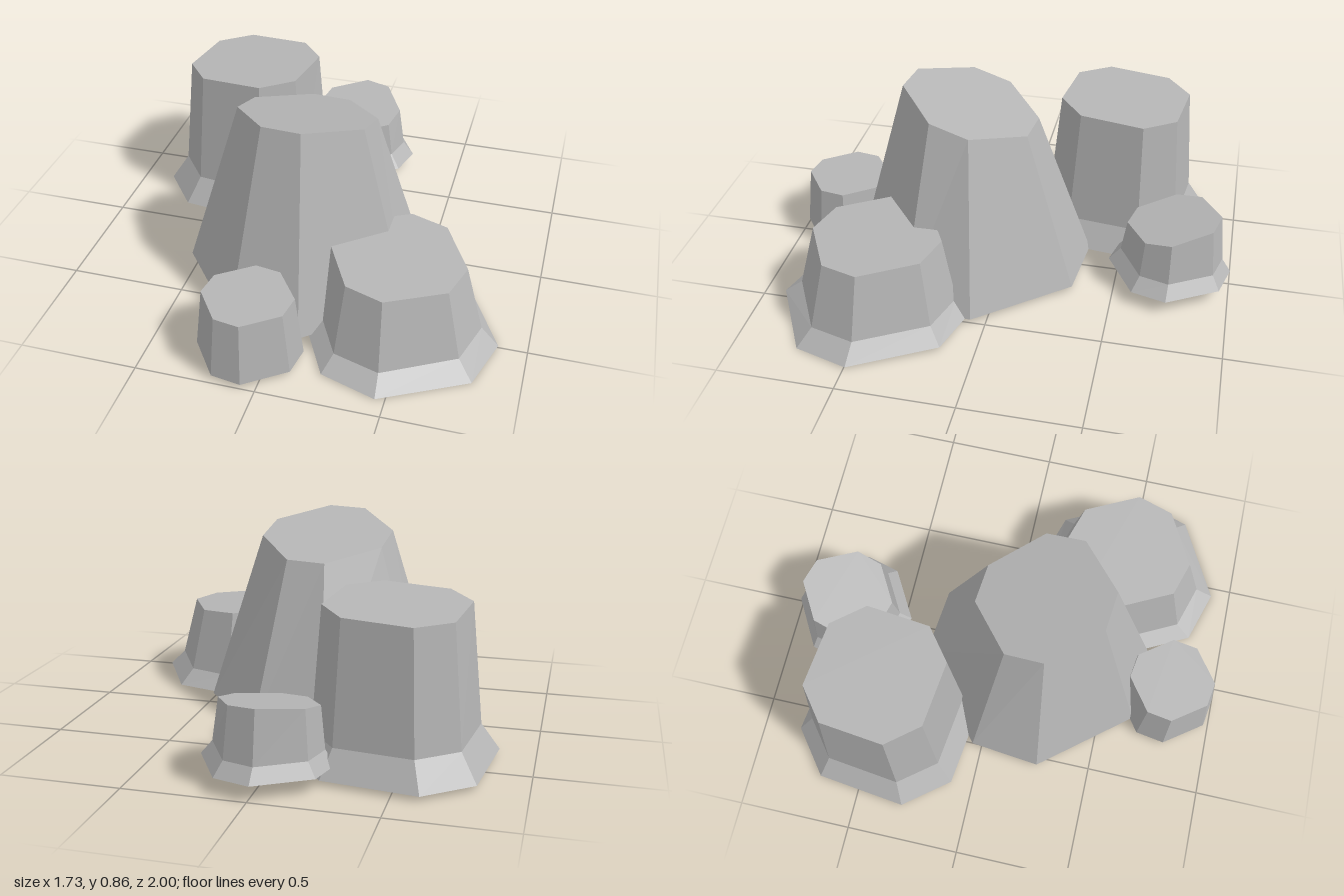
import * as THREE from 'three';

// Ring: [centre x, centre z, radius, height, slope along x, slope along z]
// Rings run from the ground up; turn is the rotation of the outline in degrees.
const ROCKS = [
  { name: 'mainRock', turn: 6, rings: [
    [-0.017, 0.165, 0.53, 0.02, 0, 0],
    [-0.016, 0.17, 0.29, 0.784, 0, 0.268],
  ] },
  { name: 'backRightRock', turn: 52, rings: [
    [-0.46, -0.44, 0.42, 0.02, 0, 0],
    [-0.455, -0.445, 0.345, 0.135, 0, 0],
    [-0.45, -0.45, 0.3, 0.648, 0.03, 0.05],
  ] },
  { name: 'smallBackRock', turn: 15, rings: [
    [0, -0.73, 0.27, 0.065, 0, 0],
    [-0.005, -0.735, 0.225, 0.125, 0, 0],
    [-0.01, -0.735, 0.203, 0.305, 0, -0.19],
  ] },
  { name: 'smallFrontRock', turn: 9, rings: [
    [-0.09, 0.78, 0.22, 0.02, 0, 0],
    [-0.09, 0.78, 0.188, 0.29, 0, 0],
  ] },
  { name: 'frontLeftRock', turn: 17, rings: [
    [0.46, 0.495, 0.42, 0.011, -0.012, -0.024],
    [0.455, 0.485, 0.35, 0.075, 0.01, -0.035],
    [0.445, 0.475, 0.283, 0.365, -0.03, -0.035],
  ] },
];

// Eight-sided outline with alternating short and long sides
function ringPoints([cx, cz, radius, height, slopeX, slopeZ], turn) {
  const points = [];
  for (let quarter = 0; quarter < 4; quarter++) {
    for (const half of [-17, 17]) {
      const angle = THREE.MathUtils.degToRad(turn + quarter * 90 + half);
      const x = Math.cos(angle) * radius;
      const z = Math.sin(angle) * radius;
      points.push([cx + x, height + x * slopeX + z * slopeZ, cz + z]);
    }
  }
  return points;
}

// Faceted walls between rings and a flat cap; the underside stays open
function rockGeometry({ rings, turn }) {
  const loops = rings.map((ring) => ringPoints(ring, turn));
  const positions = [];
  const triangle = (a, b, c) => positions.push(...a, ...b, ...c);
  for (let level = 0; level < loops.length - 1; level++) {
    const low = loops[level];
    const high = loops[level + 1];
    for (let i = 0; i < 8; i++) {
      const j = (i + 1) % 8;
      triangle(low[i], high[i], low[j]);
      triangle(low[j], high[i], high[j]);
    }
  }
  const cap = loops[loops.length - 1];
  for (let i = 1; i < 7; i++) triangle(cap[0], cap[i + 1], cap[i]);
  const geometry = new THREE.BufferGeometry();
  geometry.setAttribute('position', new THREE.Float32BufferAttribute(positions, 3));
  geometry.computeVertexNormals();
  return geometry;
}

export function createModel() {
  const stone = new THREE.MeshStandardMaterial({
    name: 'grey stone', color: 0xb5b5b5, flatShading: true, side: THREE.DoubleSide,
  });
  const group = new THREE.Group();
  group.name = 'rockCluster';
  for (const rock of ROCKS) {
    const mesh = new THREE.Mesh(rockGeometry(rock), stone);
    mesh.name = rock.name;
    group.add(mesh);
  }
  return group;
}
